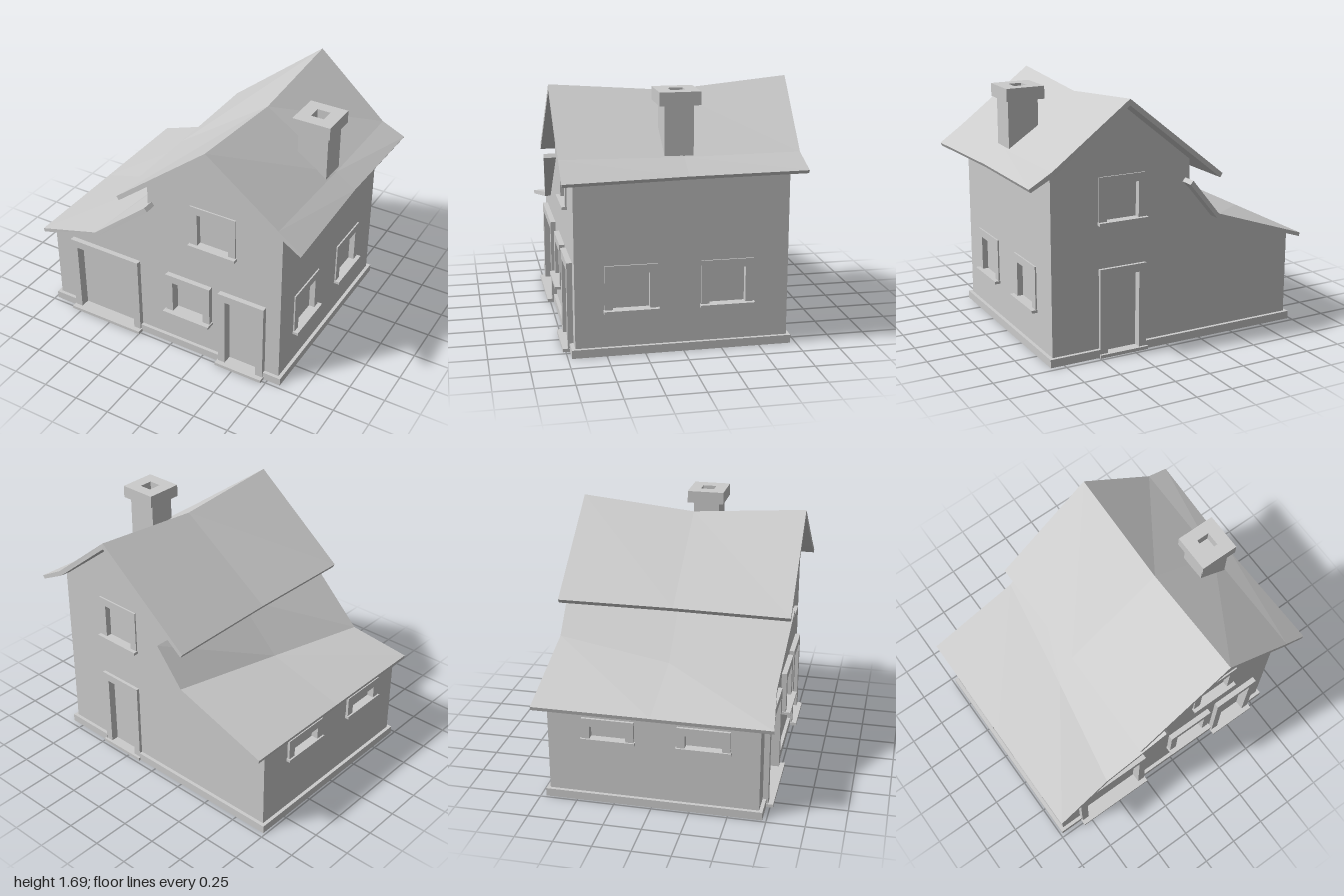
import * as THREE from 'three';

const material = new THREE.MeshStandardMaterial({ color: 0xcccccc, flatShading: true });
const T = 0.03; // wall thickness

function add(parent, name, geometry) {
  const mesh = new THREE.Mesh(geometry, material);
  mesh.name = name;
  parent.add(mesh);
  return mesh;
}

// Box given by its limits on each axis
function block(parent, name, x0, x1, y0, y1, z0, z1) {
  const g = new THREE.BoxGeometry(x1 - x0, y1 - y0, z1 - z0);
  g.translate((x0 + x1) / 2, (y0 + y1) / 2, (z0 + z1) / 2);
  return add(parent, name, g);
}

function rectPath(x0, x1, y0, y1) {
  const pts = [[x0, y0], [x0, y1], [x1, y1], [x1, y0]];
  return new THREE.Path(pts.map(p => new THREE.Vector2(...p)));
}

function plate(points, holes, depth) {
  const shape = new THREE.Shape(points.map(p => new THREE.Vector2(...p)));
  shape.holes.push(...holes);
  return new THREE.ExtrudeGeometry(shape, { depth, bevelEnabled: false });
}

// Wall built facing +z at distance "out", then turned about y.
// Openings: u0, u1 and y0, y1 of the frame, its projection and the sill's projection.
function wall(house, name, angle, out, outline, base, openings) {
  const group = new THREE.Group();
  group.name = name;
  group.rotation.y = angle;
  house.add(group);
  const inner = o => [o.u0 + 0.053, o.u1 - 0.053, o.y0 + 0.004, o.y1 - 0.055];
  const holes = openings.map(o => rectPath(...inner(o)));
  add(group, 'wallPanel', plate(outline, holes, T)).position.z = out - T;

  for (const o of openings) {
    const [a, b, c, d] = inner(o);
    const frame = [[o.u0, o.y0], [a, o.y0], [a, d], [b, d], [b, o.y0], [o.u1, o.y0], [o.u1, o.y1], [o.u0, o.y1]];
    add(group, 'frame', plate(frame, [], o.proj)).position.z = out;
    block(group, 'pane', a - 0.01, b + 0.01, c - 0.01, d + 0.01, out - T - 0.01, out - T);
    const low = o.y0 < 0.1 ? 0 : o.y0 - 0.015;
    block(group, 'sill', o.u0 - 0.007, o.u1 + 0.007, low, o.y0 + 0.004, out - T, out + o.sill);
  }

  // Base course, interrupted at the doors
  let start = base[0];
  const doors = openings.filter(o => o.y0 < 0.1).sort((p, q) => p.u0 - q.u0);
  for (const o of [...doors, { u0: base[1], u1: 0 }]) {
    block(group, 'baseCourse', start, o.u0, 0, 0.055, out - T, out + 0.024);
    start = o.u1;
  }
}

const opening = (u0, u1, y0, y1, proj, sill) => ({ u0, u1, y0, y1, proj, sill });

// Roof slab through sections running front to back; "drop" shifts each point to the underside
function roofSlab(parent, name, sections, drop) {
  const top = sections.map(s => s.map(p => new THREE.Vector3(...p)));
  const low = top.map(s => s.map((p, j) => p.clone().add(new THREE.Vector3(drop[j][0], drop[j][1], 0))));
  const pos = [];
  const quad = (a, b, c, d) => [a, b, c, a, c, d].forEach(p => pos.push(p.x, p.y, p.z));
  const n = top.length - 1, m = drop.length - 1;
  for (let i = 0; i < n; i++) {
    for (let j = 0; j < m; j++) {
      quad(top[i][j], top[i][j + 1], top[i + 1][j + 1], top[i + 1][j]);
      quad(low[i][j], low[i + 1][j], low[i + 1][j + 1], low[i][j + 1]);
    }
    quad(low[i + 1][0], low[i][0], top[i][0], top[i + 1][0]);
    quad(low[i][m], low[i + 1][m], top[i + 1][m], top[i][m]);
  }
  for (let j = 0; j < m; j++) {
    quad(low[0][j], low[0][j + 1], top[0][j + 1], top[0][j]);
    quad(low[n][j + 1], low[n][j], top[n][j], top[n][j + 1]);
  }
  const g = new THREE.BufferGeometry();
  g.setAttribute('position', new THREE.Float32BufferAttribute(pos, 3));
  g.computeVertexNormals();
  return add(parent, name, g);
}

export function createModel() {
  const house = new THREE.Group();
  house.name = 'house';

  // Gable walls; the lean-to bend differs between front and back
  const gable = (kx, ky) => [[-0.96, 0], [0.82, 0], [0.82, 1.25], [0.32, 1.635], [-0.17, 1.24],
    [-0.17, 1.06], [kx, ky], [-0.96, 0.635]];
  wall(house, 'frontWall', 0, 0.70, gable(-0.575, 0.705), [-0.984, 0.844], [
    opening(-0.81, -0.255, 0.018, 0.595, 0.036, 0.07),
    opening(-0.03, 0.31, 0.30, 0.595, 0.036, 0.07),
    opening(0.375, 0.715, 0.018, 0.595, 0.036, 0.07),
    opening(0.155, 0.49, 0.90, 1.195, 0.01, 0.036),
  ]);
  const backOutline = gable(-0.34, 0.85).map(([x, y]) => [-x, y]).reverse();
  wall(house, 'backWall', Math.PI, 0.69, backOutline, [-0.844, 0.984], [
    opening(-0.49, -0.155, 0.018, 0.595, 0.022, 0.04),
    opening(-0.49, -0.155, 0.90, 1.195, 0.01, 0.036),
  ]);

  // Side walls with two windows each
  const side = (z0, z1, h) => [[z0, 0], [z1, 0], [z1, h], [z0, h]];
  wall(house, 'leftWall', Math.PI / 2, 0.82, side(-0.70, 0.69, 1.25), [-0.724, 0.714], [
    opening(-0.51, -0.165, 0.30, 0.595, 0.01, 0.04),
    opening(0.115, 0.46, 0.30, 0.595, 0.01, 0.04),
  ]);
  wall(house, 'rightWall', -Math.PI / 2, 0.96, side(-0.69, 0.70, 0.635), [-0.714, 0.724], [
    opening(-0.46, -0.115, 0.45, 0.595, 0.018, 0.03),
    opening(0.165, 0.51, 0.45, 0.595, 0.018, 0.03),
  ]);
  block(house, 'upperSideWall', -0.17, -0.14, 1.05, 1.235, -0.69, 0.70);

  // Sagging main roof
  roofSlab(house, 'mainRoof', [
    [[-0.355, 1.14, 0.785], [0.32, 1.675, 0.785], [0.83, 1.29, 0.785], [0.995, 1.175, 0.785]],
    [[-0.35, 1.145, 0], [0.32, 1.615, 0], [0.83, 1.275, 0], [0.972, 1.185, 0]],
    [[-0.36, 1.145, -0.79], [0.32, 1.69, -0.79], [0.83, 1.28, -0.745], [0.99, 1.195, -0.76]],
  ], [[0.016, -0.027], [0, -0.042], [-0.014, -0.03], [-0.012, -0.022]]);

  // Lean-to roof with a twisted bend
  roofSlab(house, 'leanToRoof', [
    [[-1, 0.65, 0.785], [-0.59, 0.735, 0.74], [-0.14, 1.12, 0.785]],
    [[-1, 0.65, 0], [-0.465, 0.80, 0], [-0.14, 1.12, 0]],
    [[-1, 0.65, -0.79], [-0.34, 0.875, -0.79], [-0.14, 1.12, -0.79]],
  ], [[0.006, -0.025], [0.014, -0.028], [0.02, -0.025]]);

  // Chimney with a pierced cap
  const chimney = new THREE.Group();
  chimney.name = 'chimney';
  house.add(chimney);
  block(chimney, 'shaft', 0.61, 0.82, 1.26, 1.61, -0.06, 0.125);
  const cap = plate([[0.58, -0.16], [0.845, -0.16], [0.845, 0.10], [0.58, 0.10]],
    [rectPath(0.668, 0.757, -0.075, 0.02)], 0.085);
  cap.rotateX(-Math.PI / 2);
  add(chimney, 'cap', cap).position.y = 1.6;

  return house;
}
